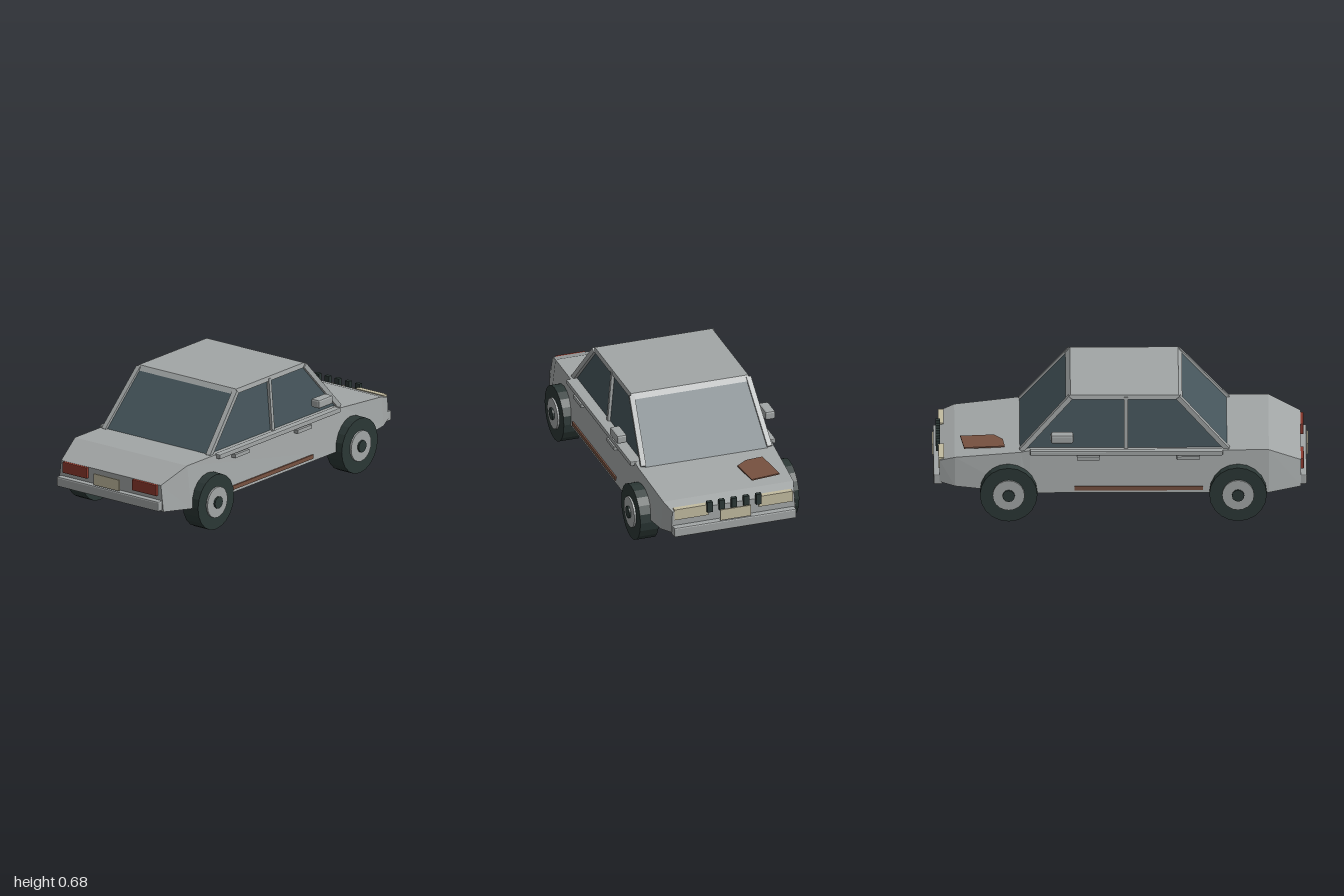
import * as THREE from 'three';
import { RoundedBoxGeometry } from 'three/addons/geometries/RoundedBoxGeometry.js';

const paint = (name, color) => {
  const m = new THREE.MeshStandardMaterial({ color, flatShading: true });
  m.name = name;
  return m;
};

// Loft of rectangular-ish sections: [z, yBottom, yTop, halfBottom, halfTop], from back (-z) to front (+z)
function loft(sections) {
  const pos = [], idx = [];
  for (const [z, yb, yt, hb, ht] of sections) pos.push(-hb, yb, z, hb, yb, z, ht, yt, z, -ht, yt, z);
  const n = sections.length;
  for (let s = 0; s < n - 1; s++) {
    for (let k = 0; k < 4; k++) {
      const a = s * 4 + k, b = s * 4 + (k + 1) % 4;
      idx.push(a, b, b + 4, a, b + 4, a + 4);
    }
  }
  const e = (n - 1) * 4;
  idx.push(0, 2, 1, 0, 3, 2, e, e + 1, e + 2, e, e + 2, e + 3);
  return finish(pos, idx);
}

// Tapered block from a lower to an upper rectangle: [y, halfX, zBack, zFront]
function frustum(low, high) {
  const pos = [];
  for (const [y, h, z0, z1] of [low, high]) pos.push(-h, y, z0, -h, y, z1, h, y, z1, h, y, z0);
  const idx = [0, 2, 1, 0, 3, 2, 4, 5, 6, 4, 6, 7];
  for (let k = 0; k < 4; k++) {
    const a = k, b = (k + 1) % 4;
    idx.push(a, b, b + 4, a, b + 4, a + 4);
  }
  return finish(pos, idx);
}

function finish(pos, idx) {
  const g = new THREE.BufferGeometry();
  g.setAttribute('position', new THREE.Float32BufferAttribute(pos, 3));
  g.setIndex(idx);
  const flat = g.toNonIndexed();
  flat.computeVertexNormals();
  return flat;
}

export function createModel() {
  const car = new THREE.Group();
  car.name = 'car';
  const body = paint('bodyGrey', 0xa2a6a6);
  const glass = paint('windowGlass', 0x46565c);
  const dark = paint('rubber', 0x2b3735);
  const red = paint('tailRed', 0x8c392d);
  const cream = paint('cream', 0xc2bba0);
  const rust = paint('rust', 0x775140);

  const add = (name, geo, mat, x = 0, y = 0, z = 0) => {
    const m = new THREE.Mesh(geo, mat);
    m.name = name;
    m.position.set(x, y, z);
    car.add(m);
    return m;
  };
  // Box given by its extents, optionally with chamfered edges
  const block = (name, mat, x0, x1, y0, y1, z0, z1, bevel = 0) => {
    const s = [x1 - x0, y1 - y0, z1 - z0];
    const geo = bevel ? new RoundedBoxGeometry(...s, 1, bevel) : new THREE.BoxGeometry(...s);
    return add(name, geo, mat, (x0 + x1) / 2, (y0 + y1) / 2, (z0 + z1) / 2);
  };
  // Mirrored pair of boxes
  const pair = (name, mat, x0, x1, ...rest) => {
    block(name + 'Left', mat, x0, x1, ...rest);
    block(name + 'Right', mat, -x1, -x0, ...rest);
  };
  // Square bar between two points
  const bar = (name, a, b, w, d) => {
    const p = new THREE.Vector3(...a), q = new THREE.Vector3(...b);
    const m = add(name, new THREE.BoxGeometry(w, d, p.distanceTo(q)), body);
    m.position.copy(p).add(q).multiplyScalar(0.5);
    m.lookAt(q);
  };

  // Lower body
  add('lowerBody', loft([
    [-0.96, 0.19, 0.31, 0.35, 0.343],
    [-0.88, 0.177, 0.337, 0.38, 0.367],
    [-0.53, 0.15, 0.372, 0.41, 0.383],
    [-0.48, 0.15, 0.383, 0.41, 0.385],
    [0.79, 0.15, 0.385, 0.41, 0.383],
    [0.96, 0.165, 0.31, 0.358, 0.34],
  ]), body);

  // Cabin glass and roof
  add('cabinGlass', frustum([0.365, 0.348, -0.54, 0.585], [0.66, 0.322, -0.28, 0.32]), glass);
  add('roof', frustum([0.655, 0.336, -0.29, 0.33], [0.68, 0.331, -0.265, 0.31]), body);

  // Pillars, belt trims, handles, mirrors and sill rust on both sides
  for (const s of [1, -1]) {
    bar('rearPillar', [s * 0.355, 0.378, 0.572], [s * 0.328, 0.667, 0.309], 0.028, 0.026);
    bar('windscreenPillar', [s * 0.355, 0.374, -0.528], [s * 0.328, 0.667, -0.266], 0.028, 0.026);
    bar('middlePillar', [s * 0.352, 0.375, 0.03], [s * 0.328, 0.668, 0.03], 0.02, 0.02);
  }
  pair('beltTrim', body, 0.37, 0.41, 0.362, 0.388, -0.48, 0.545, 0.005);
  pair('rearHandle', body, 0.38, 0.414, 0.338, 0.358, 0.3, 0.42);
  pair('frontHandle', body, 0.38, 0.414, 0.338, 0.358, -0.23, -0.11);
  pair('mirror', body, 0.39, 0.447, 0.446, 0.495, -0.37, -0.25, 0.01);
  pair('sillRust', rust, 0.405, 0.414, 0.165, 0.187, -0.245, 0.44);

  // Bumpers
  block('tailBumper', body, -0.348, 0.348, 0.17, 0.226, 0.945, 0.992, 0.008);
  block('noseBumper', body, -0.345, 0.345, 0.172, 0.228, -0.994, -0.945, 0.008);

  // Lamps, number plates and grille bars
  pair('tailLamp', red, 0.153, 0.32, 0.248, 0.309, 0.945, 0.976, 0.004);
  pair('headlamp', cream, 0.142, 0.333, 0.262, 0.323, -0.967, -0.937);
  block('tailPlate', cream, -0.087, 0.087, 0.235, 0.297, 0.992, 1);
  block('nosePlate', cream, -0.087, 0.087, 0.235, 0.297, -1, -0.992);
  for (let i = -2; i <= 2; i++) {
    const x = i * 0.069;
    block('grilleBar', dark, x - 0.015, x + 0.015, 0.283, 0.343, -0.98, -0.957);
  }

  // Rust patch lying above the bonnet
  const patch = new THREE.Shape([
    [-0.307, 0.83], [-0.286, 0.614], [-0.19, 0.624], [-0.127, 0.67], [-0.143, 0.85],
  ].map(([x, y]) => new THREE.Vector2(x, y)));
  add('bonnetRust', new THREE.ExtrudeGeometry(patch, { depth: 0.007, bevelEnabled: false }), rust, 0, 0.361, 0)
    .rotation.x = -Math.PI / 2;

  // Wheels: tyre, hub disc and cap
  const disc = (r, w, n) => new THREE.CylinderGeometry(r, r, w, n).rotateZ(Math.PI / 2);
  const tyre = disc(0.153, 0.104, 20), hub = disc(0.085, 0.02, 20), cap = disc(0.033, 0.02, 12);
  for (const z of [0.626, -0.594]) {
    for (const s of [1, -1]) {
      add('tyre', tyre, dark, s * 0.396, 0.154, z);
      add('hub', hub, body, s * 0.448, 0.154, z);
      add('hubCap', cap, dark, s * 0.458, 0.154, z);
    }
  }
  return car;
}
